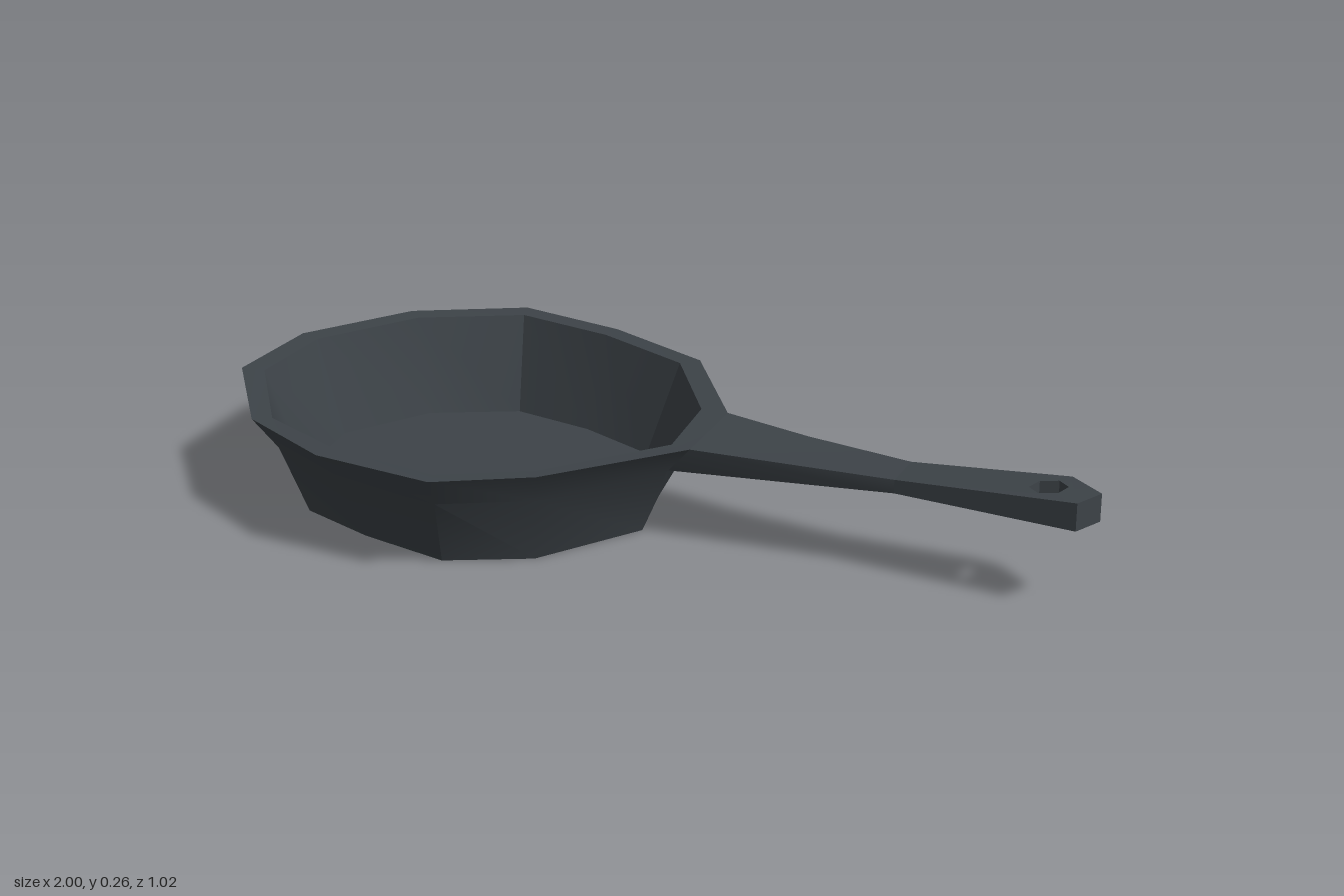
import * as THREE from 'three';
import { toCreasedNormals } from 'three/addons/utils/BufferGeometryUtils.js';

const iron = new THREE.MeshStandardMaterial({ color: 0x3d4348 });
iron.name = 'cast iron';

// Twelve corners of the rim [x, y, z] and of the base [x, z]
const RIM = [
  [-1, 0.24, 0], [-0.905, 0.24, -0.28], [-0.705, 0.24, -0.48], [-0.44, 0.24, -0.51],
  [-0.16, 0.24, -0.48], [0.09, 0.24, -0.27], [0.15, 0.235, -0.06], [0, 0.24, 0.28],
  [-0.16, 0.24, 0.45], [-0.44, 0.245, 0.51], [-0.705, 0.24, 0.45], [-0.915, 0.258, 0.28],
];
const BASE = [
  [-0.87, 0], [-0.8, -0.225], [-0.64, -0.375], [-0.44, -0.397], [-0.235, -0.375], [-0.075, -0.225],
  [0.015, -0.06], [-0.07, 0.21], [-0.22, 0.35], [-0.44, 0.365], [-0.635, 0.35], [-0.79, 0.21],
];

// Ring between base (t = 0) and rim (t = 1); height is a rule of the rim height
function ring(t, height) {
  return RIM.map(([x, y, z], i) => {
    const [bx, bz] = BASE[i];
    return [bx + (x - bx) * t, height(y), bz + (z - bz) * t];
  });
}

// Skin through successive rings; the first and last rings are single centre points
function loft(rings) {
  const n = rings[0].length;
  const index = [];
  for (let r = 0; r < rings.length - 1; r++) {
    for (let i = 0; i < n; i++) {
      const a = r * n + i, b = r * n + (i + 1) % n;
      const d = a + n, c = b + n;
      if (r > 0) index.push(a, c, b);
      if (r < rings.length - 2) index.push(a, d, c);
    }
  }
  const g = new THREE.BufferGeometry();
  g.setAttribute('position', new THREE.Float32BufferAttribute(rings.flat(2), 3));
  g.setIndex(index);
  return g;
}

// Linear interpolation through [x, y] stops
function along(stops, x) {
  if (x <= stops[0][0]) return stops[0][1];
  for (let i = 1; i < stops.length; i++) {
    const [x0, y0] = stops[i - 1], [x1, y1] = stops[i];
    if (x <= x1) return y0 + (y1 - y0) * (x - x0) / (x1 - x0);
  }
  return stops[stops.length - 1][1];
}

// Upright slab from an [x, z] outline, with top and underside following the handle's rise
const TOP = [[0.09, 0.24], [0.15, 0.235], [0.57, 0.226], [0.9, 0.257], [0.94, 0.26]];
const UNDER = [[0.12, 0.163], [0.57, 0.195]];
function slab(outline, hole = []) {
  const shape = new THREE.Shape(outline.map(([x, z]) => new THREE.Vector2(x, -z)));
  if (hole.length) shape.holes.push(new THREE.Path(hole.map(([x, z]) => new THREE.Vector2(x, -z))));
  const g = new THREE.ExtrudeGeometry(shape, { depth: 1, bevelEnabled: false });
  g.rotateX(-Math.PI / 2);
  const p = g.attributes.position;
  for (let i = 0; i < p.count; i++) {
    const x = p.getX(i), isTop = p.getY(i) > 0.5;
    p.setY(i, along(isTop ? TOP : UNDER, x));
    // tuck the lower root under the flared lip
    if (!isTop && x < 0.2) p.setX(i, x - 0.075);
  }
  return g;
}

export function createModel() {
  const group = new THREE.Group();
  const add = (name, geometry) => {
    const mesh = new THREE.Mesh(toCreasedNormals(geometry, 0.56), iron);
    mesh.name = name;
    group.add(mesh);
  };

  // Bowl: underside, wall, flared lip, rim, inner wall and cooking floor
  const centre = (y) => BASE.map(() => [-0.44, y, -0.01]);
  add('bowl', loft([
    centre(0),
    ring(0, () => 0),
    ring(0.52, () => 0.163),
    ring(1, (y) => y),
    ring(0.62, (y) => y - 0.002),
    ring(0, () => 0.015),
    centre(0.015),
  ]));

  // Handle: tapering shaft, then a widening grip with a hexagonal hanging hole
  add('handleShaft', slab([[0.09, -0.27], [0.3, -0.295], [0.55, -0.337], [0.58, -0.232], [0.15, -0.06]]));
  const hole = [];
  for (let i = 0; i < 6; i++) {
    const a = Math.PI / 6 + i * Math.PI / 3;
    hole.push([0.89 + 0.042 * Math.cos(a), -0.36 - 0.042 * Math.sin(a)]);
  }
  add('handleGrip', slab([[0.55, -0.337], [0.9, -0.437], [1, -0.395], [0.988, -0.318], [0.58, -0.232]], hole));

  return group;
}
